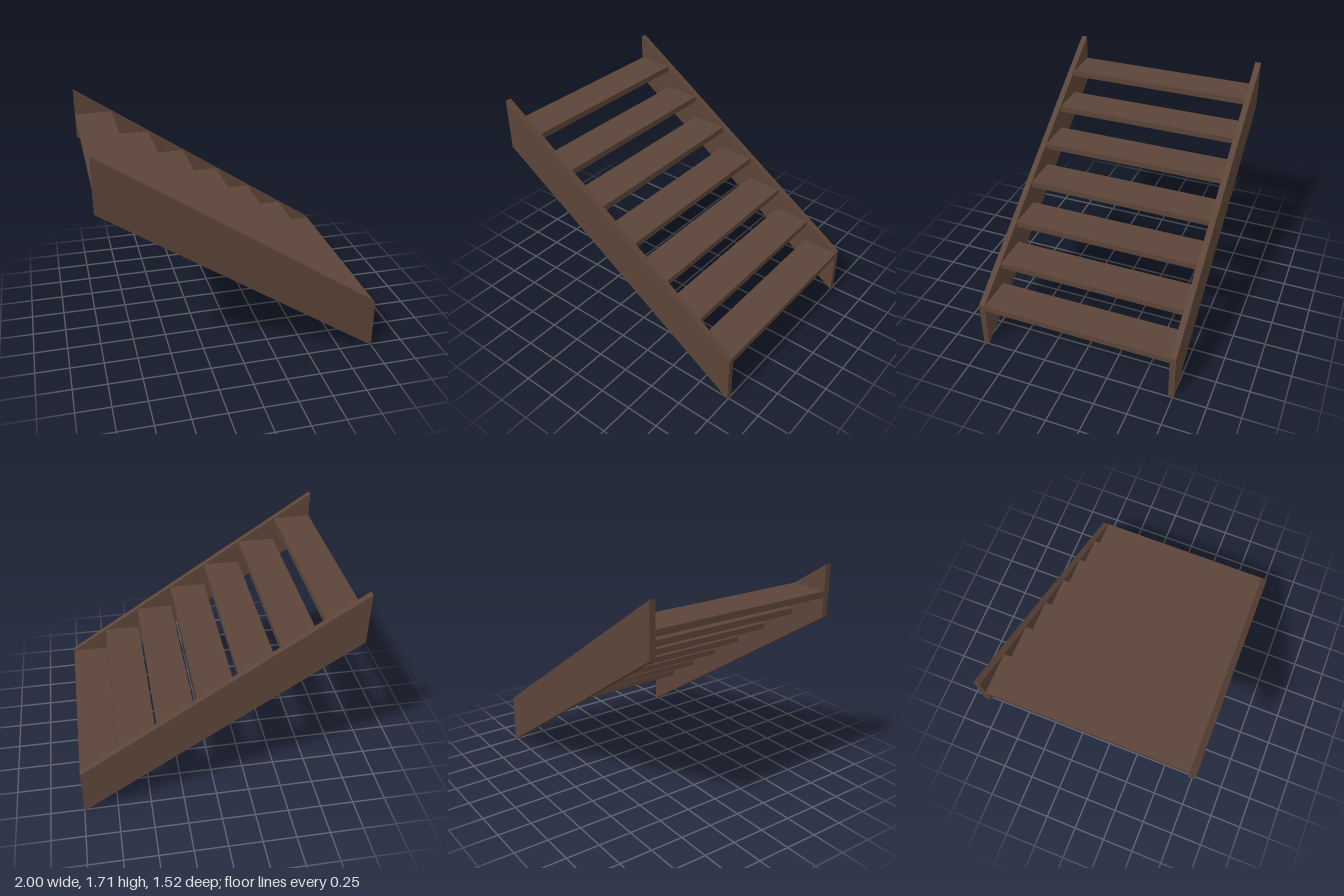
import * as THREE from 'three';

const STEPS = 7;
const LENGTH = 2;
const RUN = LENGTH / STEPS;
const RISE = 0.1905;
const BOARD = 0.045; // thickness of all boards
const HALF_WIDTH = 0.762;
const STRINGER_HEIGHT = 0.381;

export function createModel() {
  const group = new THREE.Group();
  group.name = 'openStaircase';

  const wood = new THREE.MeshStandardMaterial({ color: 0x5c4438 });
  wood.name = 'dark brown wood';

  // Sloping side boards with upright ends, climbing towards -x
  const climb = RISE * STEPS;
  const outline = new THREE.Shape([
    new THREE.Vector2(1, 0),
    new THREE.Vector2(1, STRINGER_HEIGHT),
    new THREE.Vector2(-1, climb + STRINGER_HEIGHT),
    new THREE.Vector2(-1, climb),
  ]);
  const stringerGeometry = new THREE.ExtrudeGeometry(outline, { depth: BOARD, bevelEnabled: false });
  for (const [name, z] of [['frontStringer', HALF_WIDTH - BOARD], ['backStringer', -HALF_WIDTH]]) {
    const stringer = new THREE.Mesh(stringerGeometry, wood);
    stringer.name = name;
    stringer.position.z = z;
    group.add(stringer);
  }

  // Level treads between the side boards, with no risers
  const treadGeometry = new THREE.BoxGeometry(RUN, BOARD, 2 * (HALF_WIDTH - BOARD));
  for (let i = 0; i < STEPS; i++) {
    const tread = new THREE.Mesh(treadGeometry, wood);
    tread.name = `tread${i + 1}`;
    tread.position.set(1 - RUN * (i + 0.5), STRINGER_HEIGHT + RISE * i - BOARD / 2, 0);
    group.add(tread);
  }

  return group;
}
